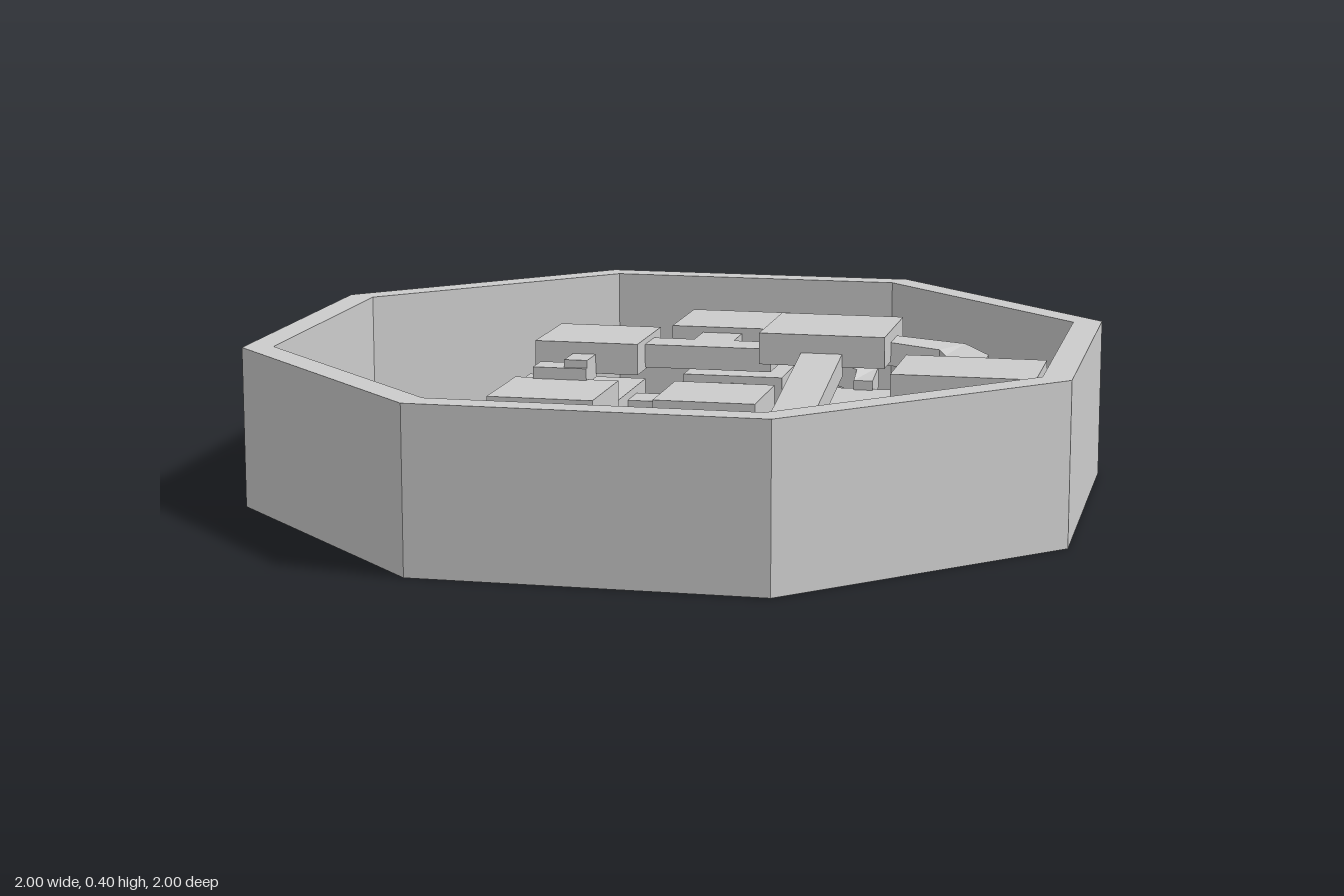
import * as THREE from 'three';

const material = new THREE.MeshStandardMaterial({ color: 0xcccccc, flatShading: true });

function add(parent, name, geometry) {
  const mesh = new THREE.Mesh(geometry, material);
  mesh.name = name;
  parent.add(mesh);
  return mesh;
}

// Rectangular block given by its plan bounds and its bottom and top heights
function block(parent, name, x0, x1, z0, z1, y0, y1) {
  const mesh = add(parent, name, new THREE.BoxGeometry(x1 - x0, y1 - y0, z1 - z0));
  mesh.position.set((x0 + x1) / 2, (y0 + y1) / 2, (z0 + z1) / 2);
}

// Mitred passage: rectangular section swept along a path of [x, topY, z]
function passage(parent, name, path, width = 0.105, height = 0.06) {
  const pos = [], idx = [], n = path.length;
  const dir = i => new THREE.Vector2(path[i + 1][0] - path[i][0], path[i + 1][2] - path[i][2]).normalize();
  path.forEach(([x, y, z], i) => {
    const a = dir(Math.max(i - 1, 0)), b = dir(Math.min(i, n - 2));
    const t = a.clone().add(b).normalize();
    const k = width / 2 / t.dot(a);
    const sx = -t.y * k, sz = t.x * k;
    pos.push(x + sx, y, z + sz, x - sx, y, z - sz, x - sx, y - height, z - sz, x + sx, y - height, z + sz);
  });
  for (let i = 0; i < n - 1; i++) {
    for (let j = 0; j < 4; j++) {
      const a = i * 4 + j, b = i * 4 + (j + 1) % 4;
      idx.push(a, a + 4, b, b, a + 4, b + 4);
    }
  }
  const e = (n - 1) * 4;
  idx.push(0, 1, 2, 0, 2, 3, e, e + 2, e + 1, e, e + 3, e + 2);
  const indexed = new THREE.BufferGeometry();
  indexed.setAttribute('position', new THREE.Float32BufferAttribute(pos, 3));
  indexed.setIndex(idx);
  const geometry = indexed.toNonIndexed();
  geometry.computeVertexNormals();
  add(parent, name, geometry);
}

function octagon(Target, apothem) {
  const r = apothem / Math.cos(Math.PI / 8);
  const points = [];
  for (let i = 0; i < 8; i++) {
    const a = (i + 0.5) * Math.PI / 4;
    points.push(new THREE.Vector2(r * Math.cos(a), r * Math.sin(a)));
  }
  return new Target(points);
}

export function createModel() {
  const model = new THREE.Group();
  model.name = 'roomMaze';

  // Outer octagonal wall
  const ring = octagon(THREE.Shape, 1);
  ring.holes.push(octagon(THREE.Path, 0.93));
  const wall = new THREE.ExtrudeGeometry(ring, { depth: 0.395, bevelEnabled: false });
  wall.rotateX(-Math.PI / 2);
  add(model, 'outerWall', wall);

  // Rooms: centre x, centre z, top height, width, depth
  const rooms = new THREE.Group();
  rooms.name = 'rooms';
  model.add(rooms);
  const low = 0.175, mid = 0.25, high = 0.33;
  [
    ['leftRoom', -0.76, 0, low],
    ['centreRoom', 0, 0, low],
    ['frontInnerRoom', 0, 0.375, low],
    ['rightInnerRoom', 0.375, 0, low],
    ['rightBackRoom', 0.755, -0.195, low],
    ['rightFrontRoom', 0.755, 0.185, low],
    ['backRoom', 0, -0.76, low],
    ['backInnerRoom', 0, -0.385, low],
    ['backLeftLowerRoom', -0.38, -0.38, low, 0.32, 0.32],
    ['backRightLowerRoom', 0.375, -0.385, low],
    ['leftInnerRoom', -0.325, 0.03, mid],
    ['frontLeftRoom', -0.325, 0.43, mid],
    ['frontRoom', 0, 0.755, mid],
    ['frontRightRoom', 0.325, 0.455, mid],
    ['backUpperRoom', 0, -0.625, high],
    ['backLeftUpperRoom', -0.295, -0.325, high],
    ['rightUpperRoom', 0.715, 0, 0.34, 0.35],
    ['backRightUpperRoom', 0.32, -0.33, 0.375, 0.32, 0.32],
  ].forEach(([name, x, z, top, w = 0.27, d = 0.27]) =>
    block(rooms, name, x - w / 2, x + w / 2, z - d / 2, z + d / 2, top - 0.08, top));

  const halls = new THREE.Group();
  halls.name = 'passages';
  model.add(halls);

  // Straight passages of the lower floor
  const floor = 0.155;
  [
    ['leftHall', [-0.94, 0], [-0.13, 0]],
    ['rightHall', [0.13, 0], [0.25, 0]],
    ['rightExit', [0.8, 0], [0.94, 0]],
    ['rightBackExit', [0.88, -0.195], [0.94, -0.195]],
    ['frontHall', [0, 0.13], [0, 0.25]],
    ['backHall', [0, -0.64], [0, -0.13]],
    ['backExit', [0, -0.94], [0, -0.88]],
    ['frontExit', [0, 0.88], [0, 0.94]],
    ['backLeftHall', [-0.23, -0.385], [-0.13, -0.385]],
    ['backRightHall', [0.375, -0.26], [0.375, -0.13]],
  ].forEach(([name, a, b]) => passage(halls, name, [[a[0], floor, a[1]], [b[0], floor, b[1]]]));
  passage(halls, 'rightBentHall',
    [[0.46, floor, 0.12], [0.46, floor, 0.16], [0.49, floor, 0.19], [0.63, floor, 0.19]]);

  // Passages joining the middle floor
  passage(halls, 'frontLeftRamp',
    [[-0.76, 0.16, 0.12], [-0.76, 0.19, 0.37], [-0.70, 0.2, 0.43], [-0.45, 0.23, 0.43]]);
  for (const s of [-1, 1]) {
    passage(halls, s < 0 ? 'frontLeftCorner' : 'frontRightCorner',
      [[s * 0.325, 0.235, 0.56], [s * 0.325, 0.235, 0.755], [s * 0.12, 0.235, 0.755]]);
  }
  passage(halls, 'leftInnerHall', [[-0.325, 0.235, 0.16], [-0.325, 0.235, 0.3]]);

  // Passages joining the upper floor
  passage(halls, 'longRamp', [[0.32, 0.235, 0.34], [0.32, 0.33, -0.18]]);
  passage(halls, 'backUpperHall', [[-0.17, 0.315, -0.33], [0.17, 0.315, -0.33]]);
  passage(halls, 'backUpperStem', [[0, 0.315, -0.5], [0, 0.315, -0.375]]);
  passage(halls, 'rightUpperBend',
    [[0.47, 0.345, -0.33], [0.63, 0.33, -0.33], [0.675, 0.32, -0.27], [0.675, 0.315, -0.13]]);

  // Small stairs between the floors
  block(halls, 'leftStairLanding', -0.41, -0.27, -0.17, -0.09, 0.22, 0.28);
  block(halls, 'leftStairTop', -0.33, -0.27, -0.2, -0.1, 0.24, 0.3);
  block(halls, 'leftStairFoot', -0.46, -0.2, -0.115, -0.1, 0.18, 0.24);
  passage(halls, 'backRightStair',
    [[0.375, 0.2, -0.5], [0.375, 0.22, -0.575], [0.215, 0.25, -0.575], [0.215, 0.3, -0.48]], 0.05);

  return model;
}
